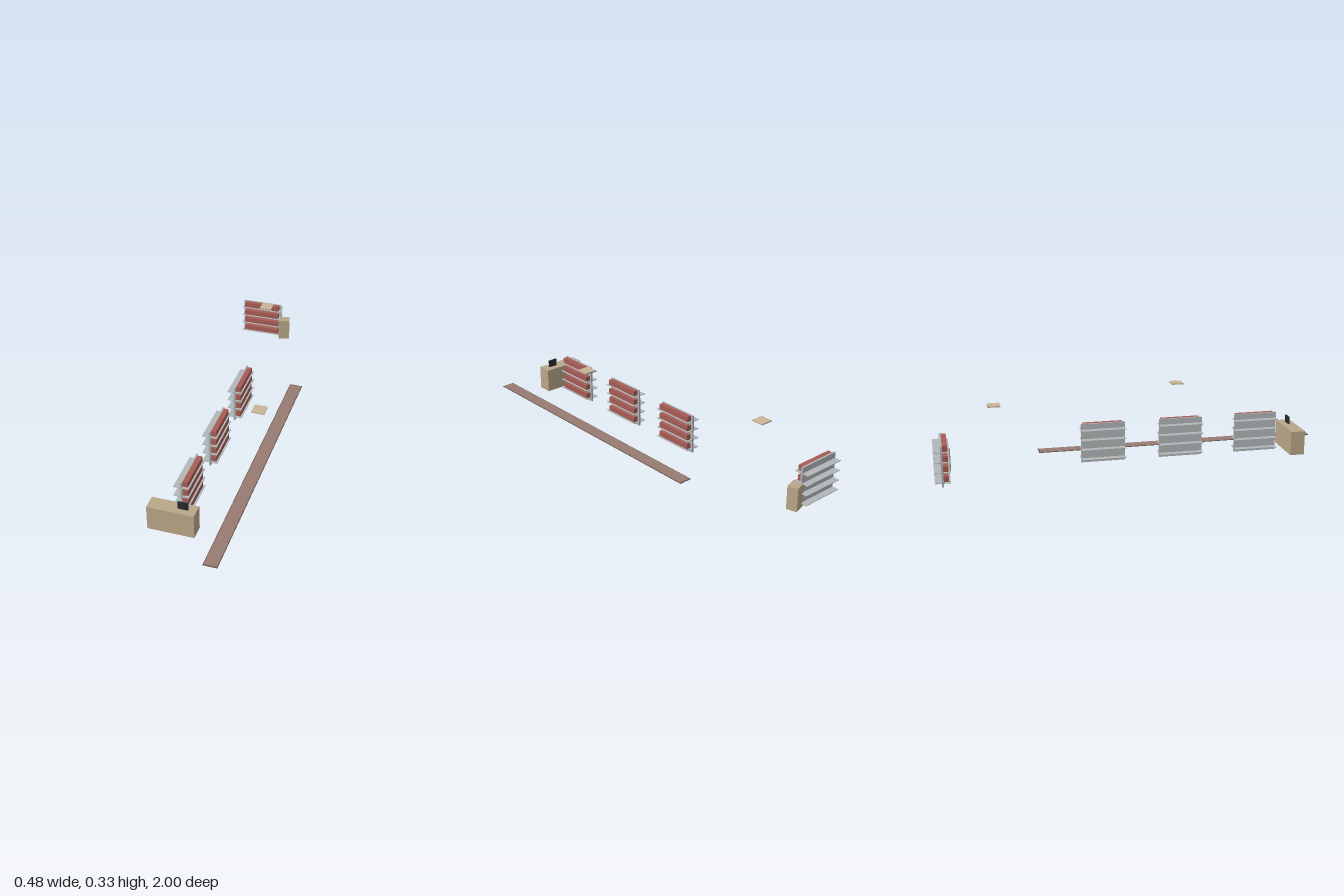
import * as THREE from 'three';

const mat = (name, color) => {
  const m = new THREE.MeshStandardMaterial({ color });
  m.name = name;
  return m;
};

export function createModel() {
  const metal = mat('shelf grey', 0xb2b6b8);
  const goods = mat('goods red', 0xa65c55);
  const wood = mat('counter tan', 0xb9a688);
  const pale = mat('panel tan', 0xc9b699);
  const carpet = mat('carpet brown', 0x977b71);
  const edging = mat('carpet edge brown', 0x66524a);
  const dark = mat('screen black', 0x25282d);

  const model = new THREE.Group();
  model.name = 'shopLayout';

  // Box given by its size and the centre of its underside
  const box = (parent, name, material, [w, h, d], [x, y, z]) => {
    const mesh = new THREE.Mesh(new THREE.BoxGeometry(w, h, d), material);
    mesh.name = name;
    mesh.position.set(x, y + h / 2, z);
    parent.add(mesh);
    return mesh;
  };

  // Double-sided shelving rack, stocked on its local +x side
  const addRack = (name, x, z, turn = 0) => {
    const rack = new THREE.Group();
    rack.name = name;
    box(rack, 'backPanel', metal, [0.009, 0.198, 0.222], [0, 0, 0]);
    for (let i = 0; i < 4; i++) {
      const y = 0.0185 + i * 0.0493;
      for (const side of [-1, 1]) {
        box(rack, 'shelf', metal, [0.0325, 0.003, 0.222], [side * 0.02075, y, 0]);
      }
      box(rack, 'goodsRow', goods, [0.0245, 0.0275, 0.199], [0.01675, y + 0.003, 0]);
    }
    rack.position.set(x, 0, z);
    rack.rotation.y = turn;
    model.add(rack);
  };
  [0.624, 0.229, -0.168].forEach((z, i) => addRack('aisleRack' + (i + 1), -0.018, z));
  addRack('backWallRack', -0.129, -0.963, -Math.PI / 2);

  // Checkout counter with an upright screen
  box(model, 'counter', wood, [0.222, 0.123, 0.073], [-0.029, 0, 0.814]);
  box(model, 'screen', dark, [0.049, 0.038, 0.006], [0.0205, 0.123, 0.816]);

  // Small turned cabinet beside the back rack
  box(model, 'cabinet', wood, [0.062, 0.117, 0.052], [0.003, 0, -0.952]).rotation.y = 0.29;

  // Long carpet runner on a slightly wider base
  box(model, 'carpetBase', edging, [0.067, 0.002, 1.466], [0.204, 0, 0.267]);
  box(model, 'carpetRunner', carpet, [0.06, 0.0012, 1.456], [0.204, 0.002, 0.267]);

  // Overhead panels
  box(model, 'overheadPanel', pale, [0.062, 0.006, 0.062], [-0.0345, 0.321, -0.703]);
  box(model, 'overheadPanel', pale, [0.062, 0.006, 0.062], [0.204, 0.321, 0.263]);

  return model;
}
